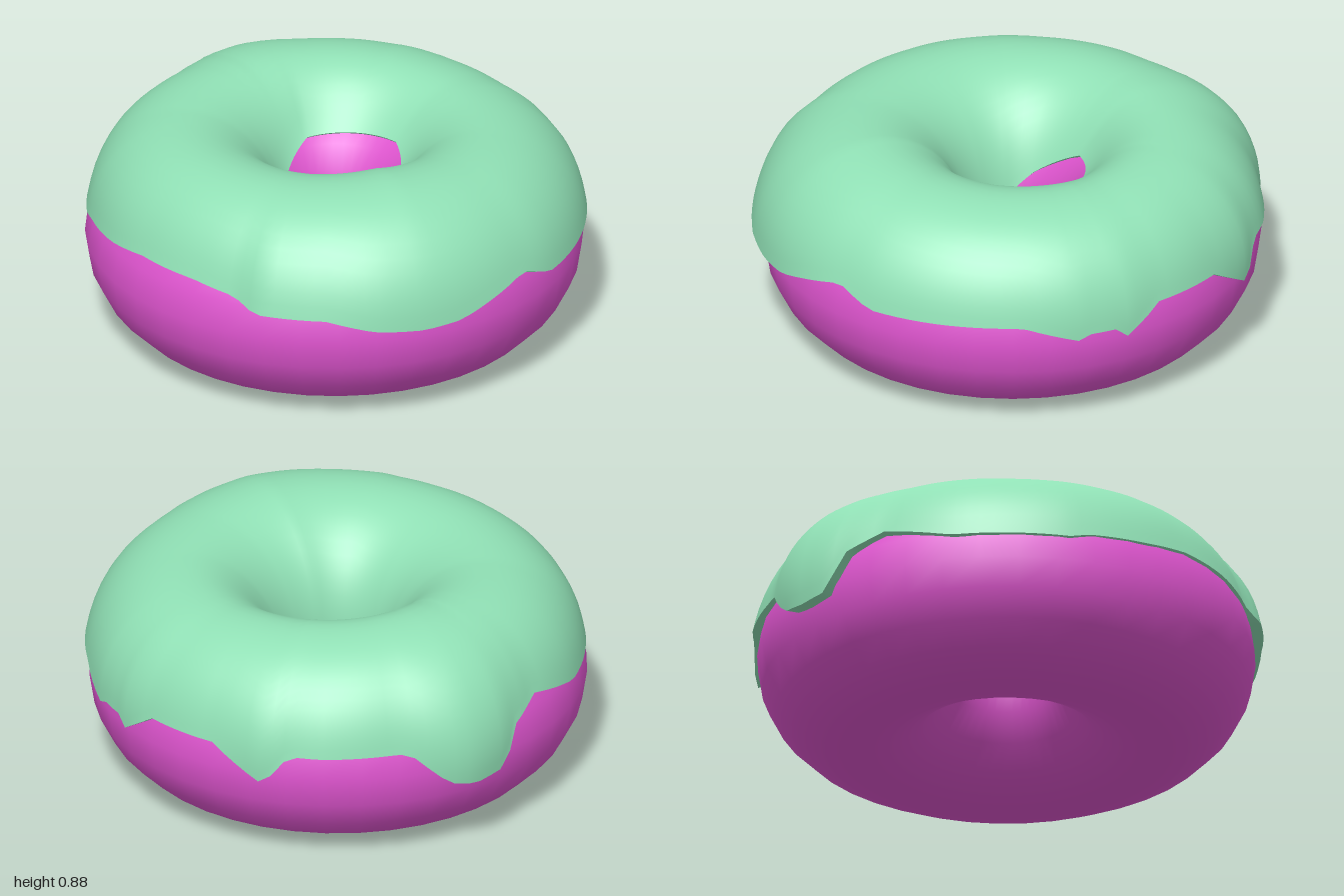
import * as THREE from 'three';
import { mergeGeometries } from 'three/addons/utils/BufferGeometryUtils.js';

const R = 0.575, r = 0.385, CY = 0.388, COLS = 120;

// Keys around the ring: [degrees from +x towards +z, value]
const outerEdgeY = [[-180, 0.56], [-167, 0.53], [-152, 0.51], [-147, 0.49], [-119, 0.49], [-102, 0.56], [-93, 0.5],
  [-88, 0.35], [-80, 0.33], [-74, 0.35], [-65, 0.49], [-37, 0.49], [-31, 0.36], [-18, 0.49], [0, 0.49],
  [9, 0.39], [12, 0.43], [18, 0.43], [21, 0.41], [34, 0.48], [70, 0.48], [79, 0.54], [90, 0.49],
  [98, 0.45], [107, 0.44], [118, 0.455], [129, 0.5], [146, 0.5], [152, 0.54], [163, 0.56]];
const innerEdgeY = [[-180, 0.38], [-150, 0.42], [-120, 0.52], [-75, 0.64], [0, 0.66], [45, 0.59], [80, 0.46], [110, 0.38]];
const edgeThickness = [[-180, 0.006], [-135, 0.008], [-100, 0.018], [-79, 0.06], [-62, 0.015], [-45, 0.03],
  [-25, 0.012], [0, 0.01], [45, 0.025], [90, 0.05], [117, 0.055], [144, 0.04], [150, 0.008]];
const topThickness = [[-180, 0.095], [-135, 0.085], [-79, 0.1], [-45, 0.085], [0, 0.068], [45, 0.078], [75, 0.09], [105, 0.115], [140, 0.1]];

// Linear lookup that wraps around the ring
function lookup(keys, deg) {
  const list = [...keys, [keys[0][0] + 360, keys[0][1]]];
  for (let i = 0; i < list.length - 1; i++) {
    const [a, va] = list[i], [b, vb] = list[i + 1];
    if (deg <= b) return THREE.MathUtils.lerp(va, vb, (deg - a) / (b - a));
  }
  return keys[0][1];
}

// Point at azimuth a, tube angle phi, and distance d from the tube centre
function ringPoint(a, phi, d) {
  const rho = R + d * Math.cos(phi);
  return [rho * Math.cos(a), CY + d * Math.sin(phi), rho * Math.sin(a)];
}

// Closed band of quads; point(deg, u) gives the surface
function band(rows, point) {
  const pos = [], index = [];
  for (let i = 0; i <= rows; i++)
    for (let j = 0; j < COLS; j++) pos.push(...point(-180 + (j * 360) / COLS, i / rows));
  for (let i = 0; i < rows; i++)
    for (let j = 0; j < COLS; j++) {
      const k = (j + 1) % COLS;
      const a = i * COLS + j, b = a + COLS, c = i * COLS + k, d = c + COLS;
      index.push(a, b, c, b, d, c);
    }
  const g = new THREE.BufferGeometry();
  g.setAttribute('position', new THREE.Float32BufferAttribute(pos, 3));
  g.setIndex(index);
  g.computeVertexNormals();
  return g;
}

// Icing surface: u = 0 at the dripping outer edge, 1 at the edge inside the hole
function icingPoint(deg, u, sink = 0) {
  const edge = lookup(edgeThickness, deg), top = lookup(topThickness, deg);
  const start = Math.asin((lookup(outerEdgeY, deg) - CY) / (r + edge));
  const end = Math.PI - Math.asin((lookup(innerEdgeY, deg) - CY) / r);
  const phi = THREE.MathUtils.lerp(start, end, u);
  const crest = Math.PI / 2;
  const thickness = phi < crest
    ? THREE.MathUtils.lerp(edge, top, Math.sin(((phi - start) / (crest - start)) * crest) ** 1.3)
    : THREE.MathUtils.lerp(top, 0.008, THREE.MathUtils.smoothstep(phi, crest, end));
  return ringPoint(THREE.MathUtils.degToRad(deg), phi, r + thickness - sink);
}

export function createModel() {
  const group = new THREE.Group();
  const add = (name, geometry, color) => {
    const mesh = new THREE.Mesh(geometry, new THREE.MeshStandardMaterial({ color }));
    mesh.name = name;
    group.add(mesh);
  };

  // Dough ring
  const dough = new THREE.TorusGeometry(R, r, 20, 40);
  dough.rotateX(Math.PI / 2);
  dough.translate(0, CY, 0);
  add('dough', dough, 0xe055d0);

  // Icing with uneven drips, and lips that close it against the dough
  add('icing', band(24, (deg, u) => icingPoint(deg, u)), 0x90e0b5);
  const outerLip = band(1, (deg, u) => icingPoint(deg, 0, (1 - u) * 0.08));
  const innerLip = band(1, (deg, u) => icingPoint(deg, 1, u * 0.03));
  add('icingLips', mergeGeometries([outerLip, innerLip]), 0x90e0b5);

  return group;
}
